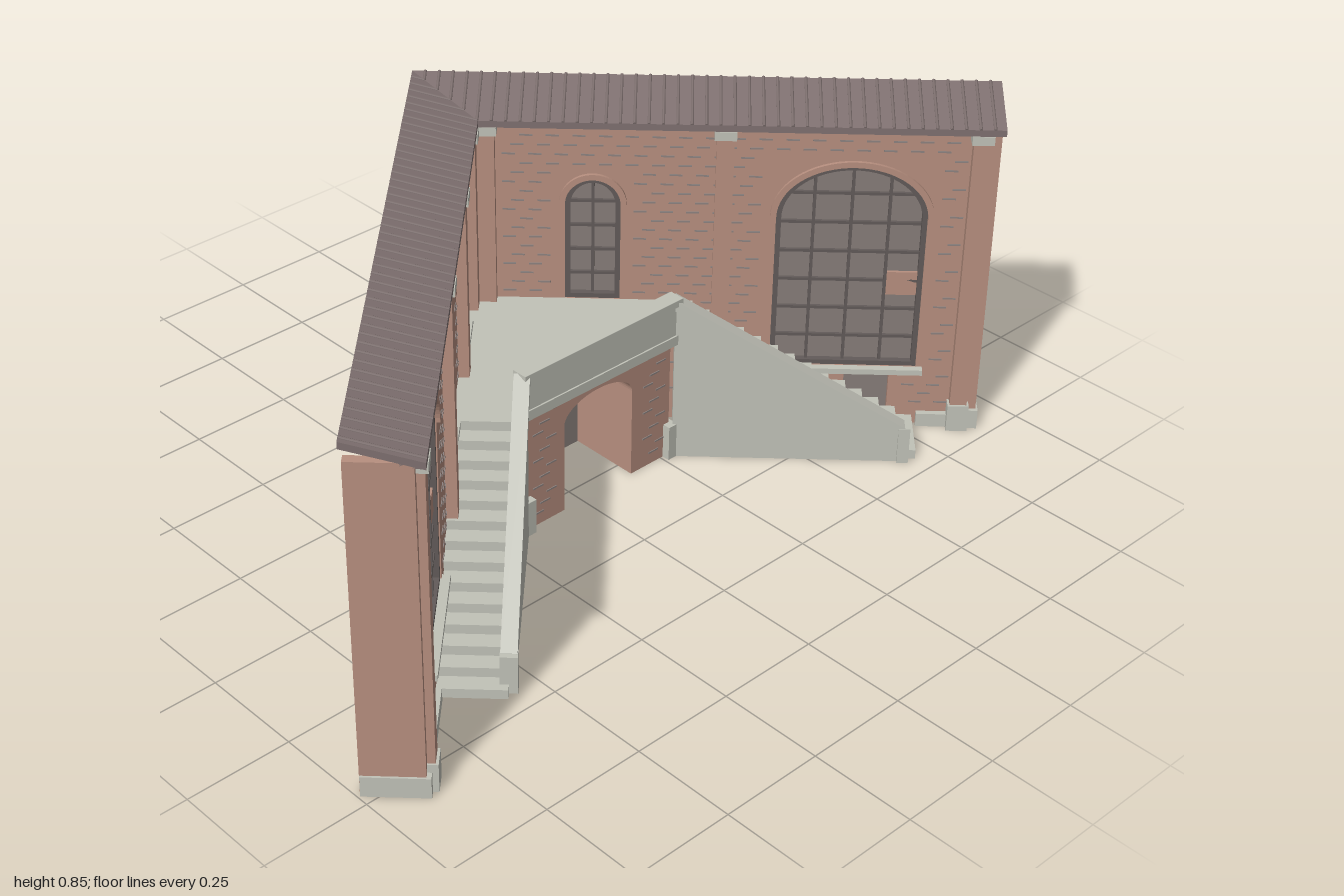
import * as THREE from 'three';
import { mergeGeometries } from 'three/addons/utils/BufferGeometryUtils.js';

const paint = (name, color) => Object.assign(new THREE.MeshStandardMaterial({ color }), { name });
const M = {
  brick: paint('brick', 0xb78f7f),
  course: paint('brick course', 0x8e8380),
  stone: paint('stone', 0xc1c2b8),
  glass: paint('window glass', 0x877d79),
  frame: paint('window frame', 0x625b59),
  tile: paint('roof tile', 0x7f7170),
};
const CX = 0.05;
const D_IN = 0.28, D_OUT = 0.332;      // wall faces, as distance outward from the corner axis
const EAVE_IN = 0.25, EAVE_OUT = 0.41; // roof edges

function add(parent, name, geo, mat) {
  const m = new THREE.Mesh(geo, mat);
  m.name = name;
  parent.add(m);
}
function boxGeo(x0, x1, y0, y1, z0, z1) {
  return new THREE.BoxGeometry(Math.abs(x1 - x0), y1 - y0, z1 - z0)
    .translate((x0 + x1) / 2, (y0 + y1) / 2, (z0 + z1) / 2);
}
function extrude(shape, z0, z1) {
  return new THREE.ExtrudeGeometry(shape, { depth: z1 - z0, bevelEnabled: false, curveSegments: 16 }).translate(0, 0, z0);
}
const poly = pts => new THREE.Shape(pts.map(p => new THREE.Vector2(p[0], p[1])));

// Opening with an elliptical head of rise r
function arch(c, w, y0, y1, r, Type = THREE.Shape) {
  const s = new Type();
  s.moveTo(c - w / 2, y0);
  s.lineTo(c + w / 2, y0);
  s.lineTo(c + w / 2, y1 - r);
  if (r > 0) s.absellipse(c, y1 - r, w / 2, r, 0, Math.PI, false);
  else s.lineTo(c - w / 2, y1);
  s.closePath();
  return s;
}
function archRing(c, w, y, r, t) {
  const s = new THREE.Shape();
  s.moveTo(c + w / 2 + t, y);
  s.absellipse(c, y, w / 2 + t, r + t, 0, Math.PI, false);
  s.lineTo(c - w / 2, y);
  s.absellipse(c, y, w / 2, r, Math.PI, 0, true);
  s.closePath();
  return s;
}

// Staggered thin brick courses that skip the openings
function courses(x0, x1, y0, y1, z, holes) {
  const list = [];
  let row = 0;
  for (let y = y0; y < y1; y += 0.024, row++) {
    for (let x = x0 + (row % 3) * 0.02; x < x1 - 0.03; x += 0.06) {
      const blocked = holes.some(h => x + 0.03 > h.c - h.w / 2 - 0.02 && x < h.c + h.w / 2 + 0.02 && y > h.y0 - 0.03 && y < h.y1 + 0.02);
      if (!blocked) list.push(boxGeo(x, x + 0.03, y, y + 0.004, z - 0.002, z + 0.002));
    }
  }
  return mergeGeometries(list);
}

function windowUnit(g, h) {
  const { c, w, y0, y1, r } = h;
  const spring = y1 - r;
  add(g, 'windowGlass', extrude(arch(c, w, y0, y1, r), -0.305, -0.298), M.glass);
  const rim = arch(c, w, y0, y1, r);
  rim.holes.push(arch(c, w - 0.024, y0 + 0.012, y1 - 0.012, r - 0.006, THREE.Path));
  add(g, 'windowFrame', extrude(rim, -0.299, -0.283), M.frame);
  const bars = [], b = 0.0035;
  for (let i = 1; i < h.cols; i++) {
    const x = -w / 2 + w * i / h.cols;
    const top = spring + r * Math.sqrt(1 - (2 * x / w) ** 2);
    bars.push(boxGeo(c + x - b, c + x + b, y0, top, -0.299, -0.29));
  }
  for (let i = 1; i < h.rows; i++) {
    const y = y0 + (y1 - y0) * i / h.rows;
    const half = y > spring ? w / 2 * Math.sqrt(1 - ((y - spring) / r) ** 2) : w / 2;
    bars.push(boxGeo(c - half, c + half, y - b, y + b, -0.299, -0.291));
  }
  add(g, 'windowBars', mergeGeometries(bars), M.frame);
  add(g, 'windowArch', extrude(archRing(c, w, spring, r, 0.014), -0.285, -0.272), M.brick);
  add(g, 'windowSill', boxGeo(c - w / 2 - 0.015, c + w / 2 + 0.015, y0 - 0.014, y0, -0.3, -0.262), M.stone);
  if (h.cols > 3) {
    const ph = (y1 - y0) / h.rows;
    add(g, 'filledPane', boxGeo(c + w / 4, c + w / 2 - 0.01, y0 + 2.5 * ph, y0 + 3.3 * ph, -0.299, -0.291), M.brick);
  }
}

// One wing: s runs along the wing, d outward; local x = sgn * s, local z = -d
function wing(sgn, end, windows, columns, hatch) {
  const g = new THREE.Group();
  g.name = sgn > 0 ? 'leftWing' : 'rightWing';
  g.position.x = CX;
  g.rotation.y = -sgn * Math.PI / 4;
  const box = (name, mat, s0, s1, d0, d1, y0, y1) => add(g, name, boxGeo(sgn * s0, sgn * s1, y0, y1, -d1, -d0), mat);
  const profile = pts => poly(pts.map(([s, y]) => [sgn * s, y]));
  const holes = windows.map(([s, w, y0, y1, r, cols, rows]) => ({ c: sgn * s, w, y0, y1, r, cols, rows }));
  if (hatch) holes.push({ c: sgn * 0.656, w: 0.106, y0: 0.025, y1: 0.145, r: 0, plain: true });

  // Wall with openings, end return and plinth
  const wall = profile([[-D_IN, 0], [end, 0], [end, 0.8], [-D_IN, 0.8]]);
  holes.forEach(h => wall.holes.push(arch(h.c, h.w, h.y0, h.y1, h.r, THREE.Path)));
  add(g, 'wall', extrude(wall, -D_OUT, -D_IN), M.brick);
  const xs = [sgn * -0.2, sgn * (end - 0.06)].sort((a, b) => a - b);
  add(g, 'brickCourses', courses(xs[0], xs[1], 0.06, 0.77, -D_IN, holes), M.course);
  box('endWall', M.brick, end - 0.022, end, 0.272, 0.405, 0, 0.8);
  box('endPlinth', M.stone, end - 0.02, end + 0.005, 0.262, 0.404, 0, 0.05);
  box('plinth', M.stone, 0.78, end, 0.266, 0.29, 0, 0.035);
  for (const h of holes) {
    if (h.plain) add(g, 'hatch', extrude(arch(h.c, h.w, h.y0, h.y1, 0), -0.305, -0.298), M.glass);
    else windowUnit(g, h);
  }

  // Columns with stone base and capital
  for (const s of columns) {
    box('column', M.brick, s - 0.02, s + 0.02, 0.255, 0.285, 0, 0.785);
    box('columnBase', M.stone, s - 0.025, s + 0.025, 0.249, 0.285, 0, 0.07);
    box('columnCapital', M.stone, s - 0.025, s + 0.025, 0.248, 0.285, 0.768, 0.79);
  }

  // Sloping roof, mitred at the corner
  const slab = new THREE.BoxGeometry(1, 1, 1), p = slab.attributes.position;
  for (let i = 0; i < p.count; i++) {
    const d = p.getZ(i) > 0 ? EAVE_IN : EAVE_OUT;
    const y = (d === EAVE_IN ? 0.79 : 0.832) + (p.getY(i) > 0 ? 0.016 : 0);
    p.setXYZ(i, sgn * (p.getX(i) * sgn > 0 ? end + 0.006 : -d), y, -d);
  }
  slab.computeVertexNormals();
  add(g, 'roofSlab', slab, M.tile);
  const ribs = [], tilt = Math.atan2(0.042, EAVE_OUT - EAVE_IN);
  for (let s = -EAVE_OUT + 0.03; s < end; s += 0.032) {
    const d0 = Math.max(EAVE_IN, -s), len = EAVE_OUT - d0, d = (EAVE_OUT + d0) / 2;
    ribs.push(new THREE.CylinderGeometry(0.004, 0.004, len / Math.cos(tilt), 6)
      .rotateX(Math.PI / 2).rotateX(tilt)
      .translate(sgn * s, 0.806 + 0.042 * (d - EAVE_IN) / (EAVE_OUT - EAVE_IN), -d));
  }
  add(g, 'roofRibs', mergeGeometries(ribs), M.tile);
  box('eaveMoulding', M.tile, -0.25, end, 0.257, 0.3, 0.788, 0.8);

  // Solid stair with balustrade
  const n = 14, s0 = 0.2, s1 = 0.77, top = 0.33, steps = [[s0, 0], [s0, top]];
  for (let i = 1; i <= n; i++) {
    const s = s0 + (s1 - s0) * i / n;
    steps.push([s, top * (1 - (i - 1) / n)], [s, top * (1 - i / n)]);
  }
  add(g, 'stair', extrude(profile(steps), -D_IN, -0.13), M.stone);
  add(g, 'stairSide', extrude(profile([[0.2, 0], [0.735, 0], [0.735, 0.08], [0.2, 0.41]]), -0.142, -0.118), M.stone);
  add(g, 'handrail', extrude(profile([[0.2, 0.402], [0.74, 0.07], [0.74, 0.096], [0.2, 0.43]]), -0.148, -0.112), M.stone);
  box('newelPost', M.stone, 0.725, 0.752, 0.111, 0.149, 0, 0.095);
  return g;
}

// Landing between the stairs, with an arched brick front
function landing() {
  const g = new THREE.Group();
  g.name = 'landing';
  g.position.x = CX;
  const floor = poly([[-0.237, -0.053], [0.237, -0.053], [0.343, 0.053], [0, 0.4], [-0.343, 0.053]]);
  add(g, 'landingFloor', extrude(floor, 0, 0.03).rotateX(-Math.PI / 2).translate(0, 0.3, 0), M.stone);
  const door = { c: 0, w: 0.21, y0: 0, y1: 0.285, r: 0.055 };
  const front = new THREE.Shape();
  front.moveTo(-0.225, 0);
  front.lineTo(-0.105, 0);
  front.lineTo(-0.105, 0.23);
  front.absellipse(0, 0.23, 0.105, 0.055, Math.PI, 0, true);
  front.lineTo(0.105, 0);
  front.lineTo(0.225, 0);
  front.lineTo(0.225, 0.33);
  front.lineTo(-0.225, 0.33);
  front.closePath();
  add(g, 'archWall', extrude(front, 0.0, 0.045), M.brick);
  add(g, 'archCourses', courses(-0.2, 0.21, 0.03, 0.3, 0.045, [door]), M.course);
  for (const k of [-1, 1]) {
    add(g, 'passageWall', boxGeo(k * 0.105, k * 0.125, 0, 0.3, -0.14, 0.01), M.brick);
    add(g, 'archPostBase', boxGeo(k * 0.208, k * 0.235, 0, 0.09, 0.03, 0.065), M.stone);
  }
  add(g, 'passageDoor', boxGeo(-0.105, 0.105, 0, 0.3, -0.145, -0.137), M.glass);
  add(g, 'parapet', boxGeo(-0.23, 0.23, 0.32, 0.42, 0.035, 0.06), M.stone);
  add(g, 'parapetCoping', boxGeo(-0.24, 0.24, 0.415, 0.432, 0.028, 0.068), M.stone);
  add(g, 'parapetLedge', boxGeo(-0.232, 0.232, 0.31, 0.335, 0.03, 0.064), M.stone);
  return g;
}

export function createModel() {
  const model = new THREE.Group();
  model.name = 'cornerBuilding';
  // window: position, width, bottom, top, arch rise, columns, rows
  model.add(wing(1, 0.92,
    [[0.007, 0.127, 0.33, 0.648, 0.063, 2, 5], [0.598, 0.345, 0.16, 0.693, 0.13, 4, 7]],
    [-0.235, 0.304, 0.876], true));
  const left = wing(-1, 1.069,
    [[-0.071, 0.125, 0.35, 0.62, 0.06, 2, 5], [0.219, 0.135, 0.33, 0.655, 0.065, 2, 5], [0.728, 0.3, 0.16, 0.675, 0.12, 4, 7]],
    [-0.235, 0.049, 0.417, 1.03], false);
  add(left, 'downpipe', new THREE.CylinderGeometry(0.009, 0.009, 0.78, 8).translate(-0.362, 0.39, -0.272), M.frame);
  model.add(left, landing());

  // Back filler where the wings meet
  add(model, 'cornerFiller', boxGeo(CX - 0.037, CX + 0.037, 0, 0.8, -0.433, -0.39), M.brick);
  return model;
}
